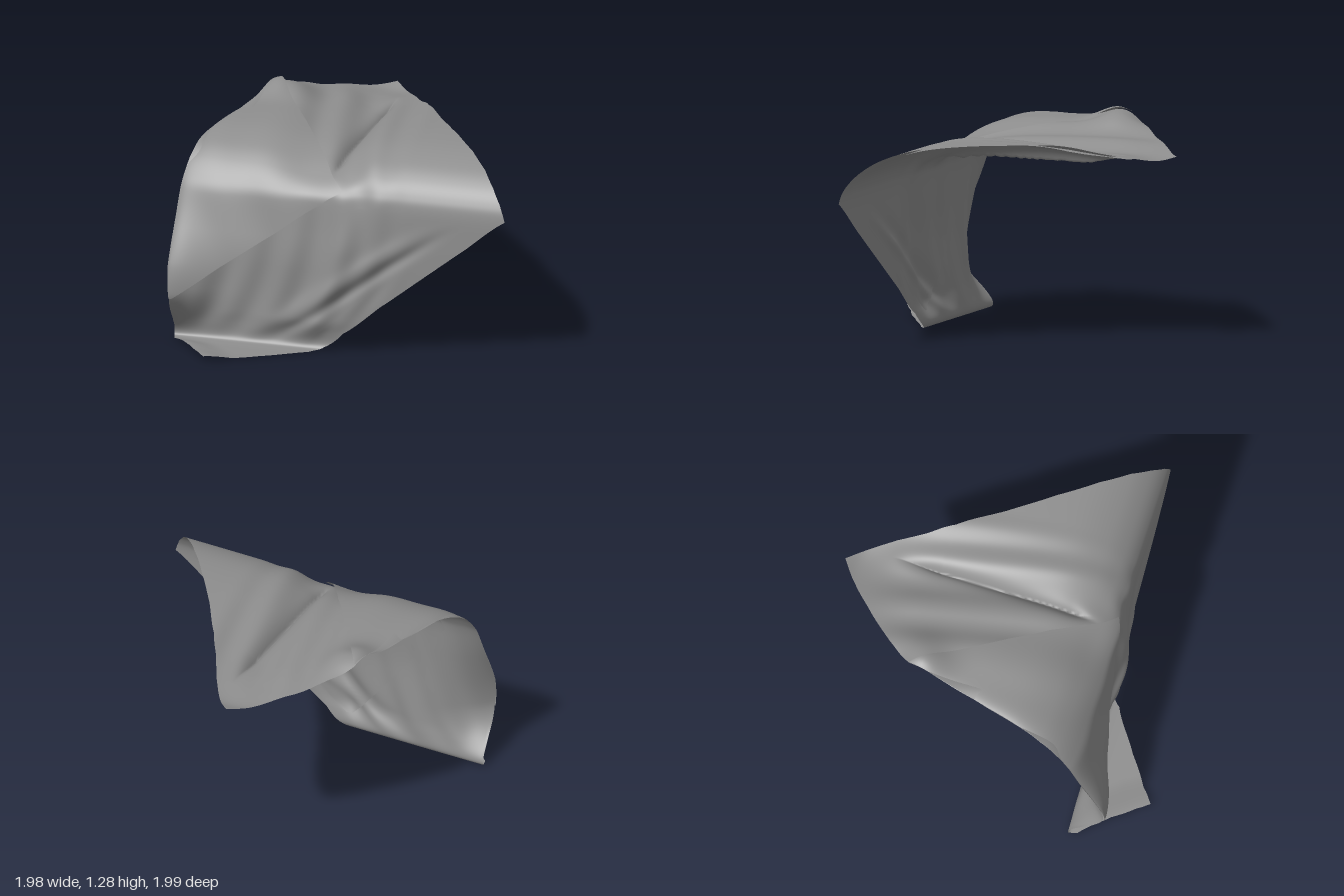
import * as THREE from 'three';

// Cross-section rows of the draped cloth: [z, y, left edge x, right edge x]
const ROWS = [
  [-1.0, 1.18, -0.16, -0.16], [-0.9, 1.155, -0.29, -0.07], [-0.75, 1.165, -0.45, 0.03],
  [-0.6, 1.18, -0.59, 0.11], [-0.45, 1.19, -0.7, 0.2], [-0.2, 1.2, -0.75, 0.36],
  [0.05, 1.2, -0.81, 0.54], [0.25, 1.18, -0.86, 0.69], [0.4, 1.13, -0.9, 0.81],
  [0.5, 1.06, -0.925, 0.89], [0.56, 0.98, -0.94, 0.95], [0.585, 0.89, -0.95, 0.985],
  [0.588, 0.7, -0.96, 0.745], [0.585, 0.5, -0.97, 0.49], [0.578, 0.3, -0.96, 0.235],
  [0.575, 0.12, -0.98, 0.015], [0.585, 0.03, -0.99, -0.095], [0.64, 0.012, -0.975, -0.17],
  [0.8, 0.012, -0.83, -0.42], [0.92, 0.018, -0.74, -0.6], [0.99, 0.02, -0.69, -0.69],
];
// Free edge of the folded-over corner, from row 4
const FLAP_START = 4, FLAP_END = 14;
const FLAP_EDGE = [-0.7, -0.53, -0.367, -0.233, -0.133, -0.067, 0.015, -0.11, -0.38, -0.67, -0.945];
// Inner edge of the second layer on the back, from row 2
const LINER_START = 2, LINER_END = 15;
const LINER_EDGE = [-0.27, -0.32, -0.37, -0.45, -0.53, -0.59, -0.64, -0.68, -0.72, -0.75, -0.6, -0.45, -0.3, -0.15];

const smooth = THREE.MathUtils.smoothstep;
const clamp = THREE.MathUtils.clamp;
const bell = (d, w) => Math.exp(-((d / w) ** 2));
const profile = new THREE.CatmullRomCurve3(
  ROWS.map(([z, y]) => new THREE.Vector3(0, y, z)), false, 'catmullrom', 0.5);

// Straight-line lookup, so the cloth corners stay crisp
function lookup(list, t) {
  const i = clamp(Math.floor(t), 0, list.length - 2);
  return THREE.MathUtils.lerp(list[i], list[i + 1], t - i);
}
const LEFT = ROWS.map((r) => r[2]), RIGHT = ROWS.map((r) => r[3]);
const leftEdge = (t) => lookup(LEFT, t);
const rightEdge = (t) => lookup(RIGHT, t);
const flapEdge = (t) => lookup(FLAP_EDGE, t - FLAP_START);
const linerLeft = (t) => lookup(LINER_EDGE, t - LINER_START);
const linerRight = (t) => rightEdge(t) - 0.07 - 0.06 * smooth(t, 10, 11);

// Shape shared by the layers: sag on top, raised rear fold, forward bulge at lower left, belly in the middle
function drape(x, p, spread) {
  const hang = 1 - smooth(p.y, 0.9, 1.13);
  const bulge = 0.22 * smooth(p.y, 0, 0.33) * (1 - smooth(p.y, 0.33, 1.05));
  const belly = 0.03 * bell(x + 0.25, 0.35) * smooth(p.y, 0.04, 0.2) * (1 - smooth(p.y, 0.5, 0.95));
  const lift = 0.085 * bell(x + 0.67, 0.14) * bell(p.z + 0.38, 0.15);
  const sag = 0.065 * bell(x + 0.14, 0.25) * (1 - hang);
  return { hang, pos: new THREE.Vector3(x, p.y + lift - sag, p.z + bulge * spread + belly) };
}

function mainLayer(x, t) {
  const p = profile.getPoint(t / (ROWS.length - 1));
  const { hang, pos } = drape(x, p, clamp((-0.55 - x) / 0.42, 0, 1) ** 2);
  // Sharp groove and soft ripples on the top
  const along = smooth(p.z, -0.75, -0.45) * (1 - smooth(p.z, 0.3, 0.52));
  pos.y -= 0.07 * Math.exp(-Math.abs(x + 0.07) / 0.035) * along;
  pos.y += 0.012 * Math.sin(24 * x - 5 * p.z) * (1 - hang) * smooth(p.z, -0.9, -0.5) * (1 - smooth(x, 0.1, 0.4));
  // Upright ridge, soft ripples and one long slanting crease on the hanging part
  const fade = hang * smooth(p.y, 0.02, 0.2) * smooth(rightEdge(t) - x, 0, 0.15) * smooth(x - leftEdge(t), 0, 0.2);
  const q = x + 0.3 * (1 - p.y) ** 2;
  const c = x + 0.45 - 1.35 * p.y;
  const ridge = 0.035 * bell(q - 0.08, 0.08) * (1 - smooth(p.y, 0.6, 1));
  const crease = (0.016 * bell(c + 0.12, 0.09) - 0.015 * bell(c, 0.06)) * (1 - smooth(p.y, 0.55, 0.85));
  pos.z += (0.008 * Math.sin(27 * q + 1.5) * (1 - smooth(x, 0.15, 0.45)) + ridge + crease) * fade;
  // Outer edge of the cloth on the floor is slightly raised
  pos.y += 0.025 * (1 - smooth(x - leftEdge(t), 0, 0.25)) * smooth(p.z, 0.6, 0.75) * hang;
  return pos;
}

// Second thickness behind the main layer
function linerLayer(x, t) {
  const pos = mainLayer(x, t);
  const hang = 1 - smooth(pos.y, 0.9, 1.1);
  pos.y -= 0.014 * (1 - hang);
  pos.z -= 0.018 * hang;
  return pos;
}

// Corner turned over the front, standing off from the main layer beyond the fold
function flapLayer(x, t) {
  const { hang, pos } = drape(x, profile.getPoint(t / (ROWS.length - 1)), clamp(-x / 0.96, 0, 1) ** 1.6);
  const away = 1 - Math.exp(-(x - leftEdge(t)) / 0.05);
  const gap = away * (0.018 + 0.012 * hang + 0.003 * Math.sin(18 * x + 9 * pos.y));
  pos.y += gap * (1 - hang);
  pos.z += gap * hang;
  return pos;
}

// Grid surface between two edges, from row t0 to row t1
function sheet(name, rule, left, right, t0, t1, cols, rows) {
  const pos = [], index = [];
  for (let j = 0; j <= rows; j++) {
    const t = t0 + (j / rows) * (t1 - t0);
    for (let i = 0; i <= cols; i++) {
      const v = rule(THREE.MathUtils.lerp(left(t), right(t), i / cols), t);
      pos.push(v.x, Math.max(v.y, 0), v.z);
      if (i < cols && j < rows) {
        const a = j * (cols + 1) + i, c = a + cols + 1;
        index.push(a, c, a + 1, a + 1, c, c + 1);
      }
    }
  }
  const geo = new THREE.BufferGeometry();
  geo.setAttribute('position', new THREE.Float32BufferAttribute(pos, 3));
  geo.setIndex(index);
  geo.computeVertexNormals();
  const mesh = new THREE.Mesh(geo, new THREE.MeshStandardMaterial({ color: 0x8e8e8e, side: THREE.DoubleSide }));
  mesh.name = name;
  return mesh;
}

export function createModel() {
  const group = new THREE.Group();
  group.name = 'drapedCloth';
  group.add(sheet('clothSheet', mainLayer, leftEdge, rightEdge, 0, ROWS.length - 1, 130, 200));
  group.add(sheet('foldedCorner', flapLayer, leftEdge, flapEdge, FLAP_START, FLAP_END, 70, 120));
  group.add(sheet('backLayer', linerLayer, linerLeft, linerRight, LINER_START, LINER_END, 90, 130));
  return group;
}
